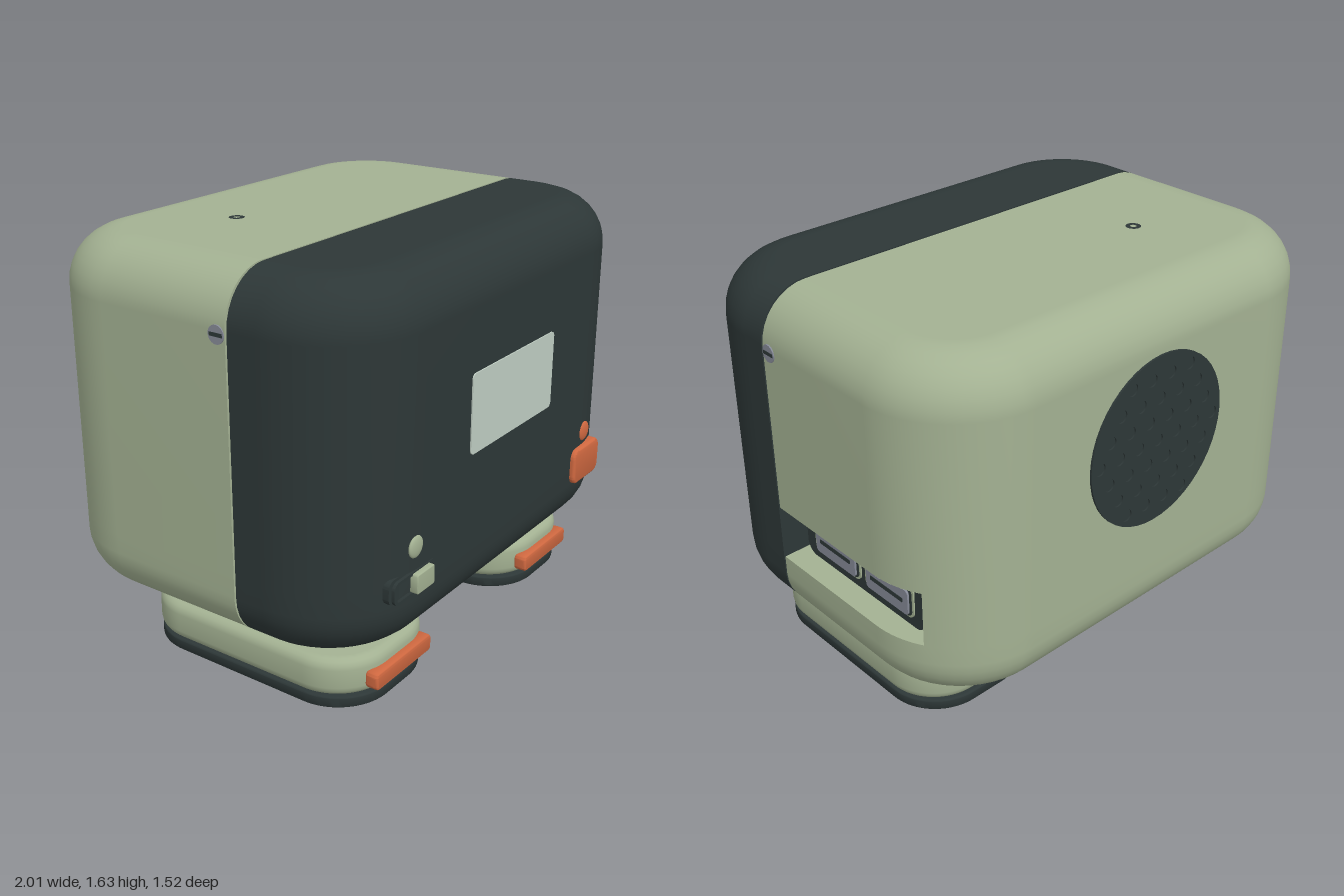
import * as THREE from 'three';
import { toCreasedNormals } from 'three/addons/utils/BufferGeometryUtils.js';

const mat = (name, color, side = THREE.FrontSide) =>
  Object.assign(new THREE.MeshStandardMaterial({ color, side }), { name });

// Rounded rectangle outline centred on the origin
function roundRect(w, h, r) {
  const s = new THREE.Shape(), x = w / 2 - r, y = h / 2 - r;
  s.absarc(x, y, r, 0, Math.PI / 2);
  s.absarc(-x, y, r, Math.PI / 2, Math.PI);
  s.absarc(-x, -y, r, Math.PI, Math.PI * 1.5);
  s.absarc(x, -y, r, Math.PI * 1.5, Math.PI * 2);
  s.closePath();
  return s;
}

function circleHole(x, y, r) {
  const p = new THREE.Path();
  p.absarc(x, y, r, 0, Math.PI * 2, true);
  return p;
}

// Rounded slab from z = 0 to z = d with softened edges and optional holes
function slab(w, h, r, d, b = 0, holes = []) {
  const s = roundRect(w - 2 * b, h - 2 * b, r - b);
  s.holes.push(...holes);
  const g = new THREE.ExtrudeGeometry(s, {
    depth: d - 2 * b, bevelEnabled: b > 0, bevelSize: b, bevelThickness: b,
    bevelSegments: 4, curveSegments: 10,
  });
  return toCreasedNormals(g.translate(0, 0, b), 0.6);
}

// Half of the case: a rounded plan lofted up through soft top and bottom edges
const Y0 = 0.25, Y1 = 1.63, CORNER = 0.4, EDGE = 0.2;
const PORT = { y0: 0.53, y1: 0.755, z: -0.555 };

function halfCase(cut, zEnd, s, withPort) {
  const levels = [], N = 8, A = 12, pos = [], idx = [];
  for (let k = 0; k <= N; k++) {
    const t = k / N * Math.PI / 2;
    levels.push([EDGE * (1 - Math.sin(t)), EDGE * (1 - Math.cos(t))]);
  }
  const rows = [
    [EDGE, Y0, true],
    ...levels.map(([i, y]) => [i, Y0 + y]),
    [0, PORT.y0], [0, PORT.y1],
    ...levels.map(([i, y]) => [i, Y1 - y]).reverse(),
    [EDGE, Y1, true],
  ];
  const zc = zEnd - s * CORNER;
  for (const [inset, y, flat] of rows) {
    const half = [[1 - inset, cut]];
    for (let k = 0; k <= A; k++) {
      const a = k / A * Math.PI / 2, r = CORNER - inset;
      half.push([1 - CORNER + r * Math.cos(a), zc + s * r * Math.sin(a)]);
    }
    const ring = [...half, ...half.map(([x, z]) => [-x, z]).reverse()];
    for (const [x, z] of ring) pos.push(x, y, flat ? cut : z);
  }
  const n = 2 * (A + 2);
  for (let i = 0; i < rows.length - 1; i++) {
    for (let j = 0; j < n - 1; j++) {
      // leave the port window open: straight side plus 30 degrees of the corner
      if (withPort && rows[i][1] === PORT.y0 && j < 5) continue;
      const a = i * n + j, b = a + n, c = a + 1, d = b + 1;
      if (s > 0) idx.push(a, b, c, c, b, d);
      else idx.push(a, c, b, c, d, b);
    }
  }
  const g = new THREE.BufferGeometry();
  g.setAttribute('position', new THREE.Float32BufferAttribute(pos, 3));
  g.setIndex(idx);
  g.computeVertexNormals();
  return g;
}

export function createModel() {
  const root = new THREE.Group();
  root.name = 'deskDevice';
  const green = mat('sage green', 0xa3b192);
  const greenOpen = mat('sage green lining', 0xa3b192, THREE.DoubleSide);
  const dark = mat('charcoal', 0x2d3737);
  const orange = mat('orange', 0xcf6840);
  const screen = mat('pale screen', 0xbfcdc2);
  const grey = mat('metal grey', 0x868a97);

  const add = (name, geo, m, x = 0, y = 0, z = 0, parent = root) => {
    const mesh = new THREE.Mesh(geo, m);
    mesh.name = name;
    mesh.position.set(x, y, z);
    parent.add(mesh);
    return mesh;
  };

  // Case halves and the faces along the seam
  const seam = () => new THREE.ShapeGeometry(roundRect(2, Y1 - Y0, EDGE), 10);
  const midY = (Y0 + Y1) / 2;
  add('frontCase', halfCase(0.221, 0.735, 1, false), dark);
  add('frontSeamFace', seam().rotateY(Math.PI), dark, 0, midY, 0.221);
  add('backCase', halfCase(0.213, -0.755, -1, true), green);
  add('backSeamFace', seam(), green, 0, midY, 0.213);

  // Port recess lining
  const lip = new THREE.Shape();
  lip.moveTo(0.86, -0.213);
  lip.lineTo(1, -0.213);
  lip.lineTo(1, 0.355);
  lip.absarc(0.6, 0.355, 0.4, 0, Math.PI / 6);
  lip.lineTo(0.86, -PORT.z);
  lip.closePath();
  const lipGeo = new THREE.ShapeGeometry(lip, 4).rotateX(-Math.PI / 2);
  add('portFloor', lipGeo, greenOpen, 0, PORT.y0, 0);
  add('portCeiling', lipGeo, greenOpen, 0, PORT.y1, 0);
  const portH = PORT.y1 - PORT.y0, portY = (PORT.y0 + PORT.y1) / 2;
  add('portBack', new THREE.PlaneGeometry(0.768, portH).rotateY(Math.PI / 2), greenOpen, 0.86, portY, -0.171);
  add('portEnd', new THREE.PlaneGeometry(0.087, portH), greenOpen, 0.903, portY, PORT.z);

  // Socket plate with two metal sockets
  const side = (w, h, r, d) => slab(w, h, r, d).rotateY(Math.PI / 2);
  add('socketPlate', side(0.7, 0.215, 0.05, 0.05), dark, 0.86, 0.643, -0.17);
  for (const z of [-0.02, -0.327]) {
    add('socketSurround', side(0.28, 0.145, 0.03, 0.006), green, 0.91, 0.645, z);
    add('socketRecess', side(0.262, 0.125, 0.025, 0.003), dark, 0.916, 0.642, z);
    add('socketShell', side(0.24, 0.105, 0.015, 0.008), grey, 0.919, 0.638, z);
    add('socketSlot', side(0.185, 0.018, 0.004, 0.002), dark, 0.927, 0.64, z);
  }

  // Side screws
  for (const s of [-1, 1]) {
    add('screw', new THREE.CylinderGeometry(0.034, 0.034, 0.008, 24).rotateZ(Math.PI / 2), grey, s, 1.417, 0.177);
    add('screwSlot', new THREE.BoxGeometry(0.003, 0.014, 0.055), dark, s * 1.004, 1.417, 0.177);
  }

  // Screen, indicator lights, slide switch and button
  add('screen', slab(0.6, 0.31, 0.02, 0.008), screen, 0, 1.035, 0.732);
  const lamp = new THREE.SphereGeometry(0.042, 24, 12).scale(1, 1, 0.3);
  add('leftLamp', lamp, orange, 0.635, 0.66, 0.732);
  add('rightLamp', lamp, green, -0.64, 0.66, 0.732);
  add('switchFrame', slab(0.27, 0.095, 0.03, 0.04), dark, -0.645, 0.525, 0.677);
  const trim = slab(0.262, 0.09, 0.03, 0.012, 0, [new THREE.Path(roundRect(0.226, 0.066, 0.012).getPoints(8).reverse())]);
  add('switchTrim', trim, dark, -0.645, 0.525, 0.726);
  add('switchSlider', slab(0.11, 0.076, 0.008, 0.06, 0.004), green, -0.61, 0.527, 0.7);
  add('button', slab(0.225, 0.155, 0.04, 0.06, 0.012), orange, 0.638, 0.527, 0.695);

  // Speaker grille with hexagonally spaced holes
  const disc = new THREE.Shape();
  disc.absarc(0, 0, 0.345, 0, Math.PI * 2);
  const step = 0.1;
  for (let q = -3; q <= 3; q++) {
    for (let r = -3; r <= 3; r++) {
      if (Math.abs(q + r) > 3) continue;
      disc.holes.push(circleHole(step * (q + r / 2), step * r * 0.866, 0.025));
    }
  }
  add('speakerGrille', new THREE.ExtrudeGeometry(disc, { depth: 0.009, bevelEnabled: false, curveSegments: 24 })
    .rotateY(Math.PI), dark, 0, 1.07, -0.754);
  add('speakerBacking', new THREE.CircleGeometry(0.34, 48).rotateY(Math.PI), dark, 0, 1.07, -0.757);

  // Small ring on top
  add('topRing', new THREE.RingGeometry(0.012, 0.03, 24).rotateX(-Math.PI / 2), dark, -0.4, Y1 + 0.002, -0.24);

  // Feet, mirrored left and right
  for (const s of [-1, 1]) {
    const foot = new THREE.Group();
    foot.name = s > 0 ? 'leftFoot' : 'rightFoot';
    foot.position.set(s * 0.546, 0, 0.085);
    root.add(foot);
    const flat = g => g.rotateX(-Math.PI / 2);
    add('sole', flat(slab(0.585, 1.04, 0.22, 0.046, 0.008, [circleHole(0, -0.23, 0.055)])), dark, 0, 0, 0, foot);
    add('shoe', flat(slab(0.595, 1.04, 0.22, 0.153, 0.04)), green, 0, 0.046, 0, foot);
    add('toeBar', slab(0.36, 0.07, 0.02, 0.055, 0.01), orange, 0, 0.11, 0.495, foot);
    add('leg', flat(slab(0.115, 0.14, 0.05, 0.1)), dark, 0, 0.18, 0.23, foot);
  }
  return root;
}
